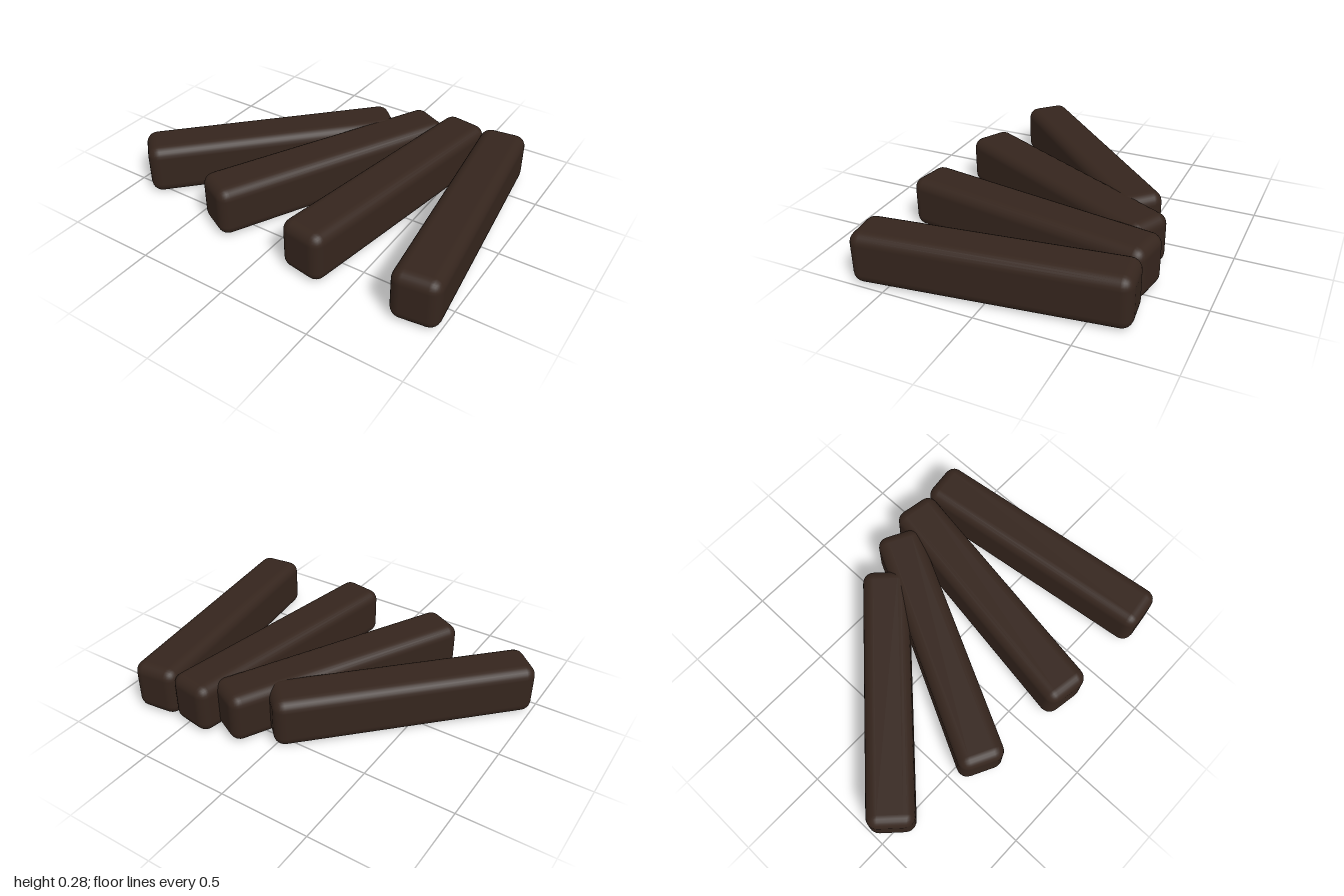
import * as THREE from 'three';
import { RoundedBoxGeometry } from 'three/addons/geometries/RoundedBoxGeometry.js';

export function createModel() {
  const group = new THREE.Group();
  group.name = 'fannedBars';
  const material = new THREE.MeshStandardMaterial({ color: 0x35251d });

  // One soft-edged bar, shared by the whole fan
  const width = 0.255, height = 0.284, length = 1.42;
  const geometry = new RoundedBoxGeometry(width, height, length, 3, 0.06);

  // Fan of four bars: centre x, centre z, turn in degrees
  const bars = [
    [-0.43, -0.005, -44],
    [-0.04, -0.003, -26.8],
    [0.356, 0, -9.3],
    [0.788, -0.002, 7],
  ];
  bars.forEach(([x, z, turn], i) => {
    const bar = new THREE.Mesh(geometry, material);
    bar.name = `bar${i + 1}`;
    bar.position.set(x, height / 2, z);
    bar.rotation.y = THREE.MathUtils.degToRad(turn);
    group.add(bar);
  });

  return group;
}
